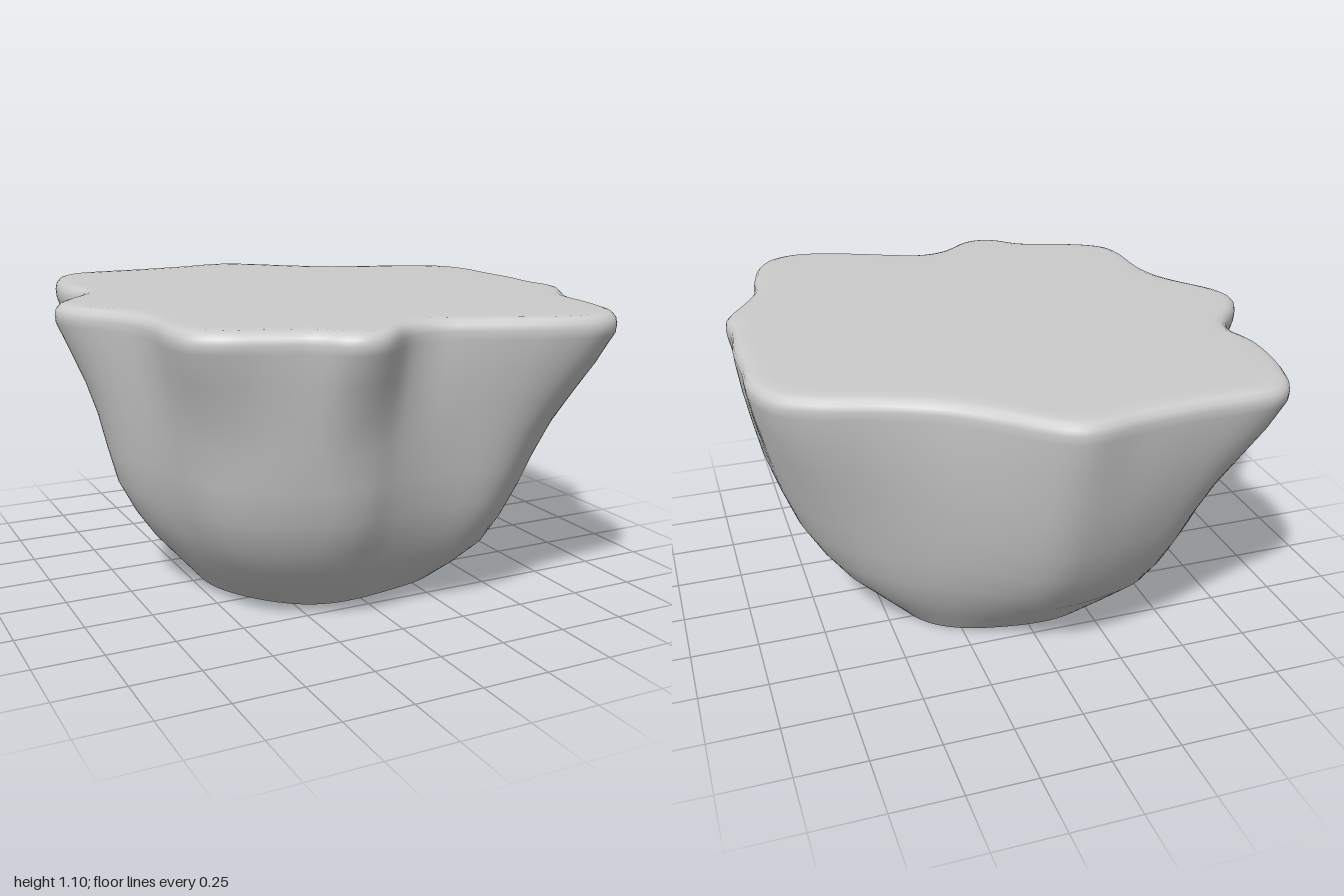
import * as THREE from 'three';

// Wavy rim outline as x, z pairs
const OUTLINE = [
  0, -1, 0.07, -0.98, 0.15, -0.92, 0.27, -0.81, 0.4, -0.71, 0.57, -0.63, 0.76, -0.565, 0.9, -0.475,
  0.955, -0.34, 0.955, -0.17, 0.96, 0, 0.945, 0.18, 0.95, 0.3, 0.88, 0.43, 0.81, 0.57, 0.78, 0.75, 0.74, 0.89,
  0.68, 0.965, 0.59, 1, 0.46, 0.98, 0.3, 0.92, 0.17, 0.865, 0.05, 0.83, -0.05, 0.85,
  -0.19, 0.95, -0.26, 0.96, -0.32, 0.935, -0.4, 0.86, -0.52, 0.81, -0.67, 0.75, -0.75, 0.68,
  -0.775, 0.57, -0.775, 0.4, -0.79, 0.3, -0.83, 0.2, -0.95, 0.01, -0.965, -0.08, -0.93, -0.16,
  -0.82, -0.3, -0.79, -0.4, -0.815, -0.53, -0.805, -0.68, -0.78, -0.79, -0.74, -0.885, -0.67, -0.935,
  -0.4, -0.95, -0.18, -0.97,
];
const N = 240;
const WINDOW = 10;

// Levels: height, spread from foot (0) to rim (1), how much of the rim's waviness remains,
// inset, how far the ridges tuck in, how much more the corners tuck in
const LEVELS = [
  [0, 0, 0, 0, 0, 0], [0.1, 0.19, 0.15, 0, 0.01, 0.01], [0.2, 0.38, 0.25, 0, 0.02, 0.04],
  [0.3, 0.53, 0.33, 0, 0.03, 0.1], [0.42, 0.67, 0.4, 0, 0.045, 0.15], [0.55, 0.77, 0.45, 0, 0.085, 0.13],
  [0.68, 0.855, 0.52, 0, 0.12, 0.08], [0.8, 0.91, 0.65, 0, 0.1, 0.03], [0.92, 0.96, 0.82, 0, 0.055, 0],
  [1.03, 0.995, 1, 0, 0, 0], [1.06, 1, 1, 0, 0, 0], [1.08, 1, 1, 0.005, 0, 0], [1.095, 1, 1, 0.02, 0, 0],
  [1.102, 1, 1, 0.045, 0, 0], [1.104, 1, 1, 0.09, 0, 0], [1.104, 1, 1, 0.3, 0, 0],
];

export function createModel() {
  const controls = [];
  for (let i = 0; i < OUTLINE.length; i += 2) {
    controls.push(new THREE.Vector3(OUTLINE[i], 0, OUTLINE[i + 1]));
  }
  const rim = new THREE.CatmullRomCurve3(controls, true).getSpacedPoints(N).slice(0, N);
  const raw = rim.map((p) => Math.hypot(p.x, p.z));

  // Softened rim radii shape the lower walls
  const soft = raw.map((_, i) => {
    let sum = 0;
    for (let k = -WINDOW; k <= WINDOW; k++) sum += raw[(i + k + N) % N];
    return sum / (2 * WINDOW + 1);
  });

  // Rings of the wall, rolled lip and flat top
  const positions = [];
  const index = [];
  LEVELS.forEach(([y, spread, wave, inset, tuck, cornerTuck]) => {
    rim.forEach((p, i) => {
      const a = Math.atan2(p.z, p.x);
      // The left (+x) and back walls bulge, the other ridges run straighter
      const straight = 1 - Math.max(0, Math.cos(a)) ** 6 - Math.max(0, -Math.sin(a)) ** 6;
      // Every corner but the front right one runs almost straight down to the foot
      const corner = p.x < 0 && p.z > 0 ? 0 : Math.sin(2 * a) ** 2;
      const ridge = THREE.MathUtils.clamp(0.6 + 5 * (raw[i] - soft[i]), 0.15, 1);
      const pull = ridge * (tuck * straight + cornerTuck * corner);
      const target = THREE.MathUtils.lerp(soft[i], raw[i], wave);
      const footRadius = 0.47 + 0.025 * Math.sin(2 * a) ** 2;
      const r = THREE.MathUtils.lerp(footRadius, target, spread - pull) - inset;
      // Uneven foot edge
      const foot = (1 - spread) ** 4 * (0.016 + 0.01 * Math.sin(a) + 0.006 * Math.cos(5 * a));
      positions.push(r * Math.cos(a), y + foot, r * Math.sin(a) + 0.02 * (1 - spread));
    });
  });
  for (let j = 0; j < LEVELS.length - 1; j++) {
    for (let i = 0; i < N; i++) {
      const a = j * N + i;
      const b = j * N + ((i + 1) % N);
      index.push(a, a + N, b, b, a + N, b + N);
    }
  }

  // Close the top at its centre; the foot stays open
  const last = (LEVELS.length - 1) * N;
  const centre = positions.length / 3;
  positions.push(0, 1.104, 0);
  for (let i = 0; i < N; i++) index.push(last + i, centre, last + ((i + 1) % N));

  const geometry = new THREE.BufferGeometry();
  geometry.setAttribute('position', new THREE.Float32BufferAttribute(positions, 3));
  geometry.setIndex(index);
  geometry.computeVertexNormals();

  const body = new THREE.Mesh(
    geometry,
    new THREE.MeshStandardMaterial({ color: 0xcccccc, side: THREE.DoubleSide }),
  );
  body.name = 'wavyShell';

  const group = new THREE.Group();
  group.name = 'wavyMound';
  group.add(body);
  return group;
}
